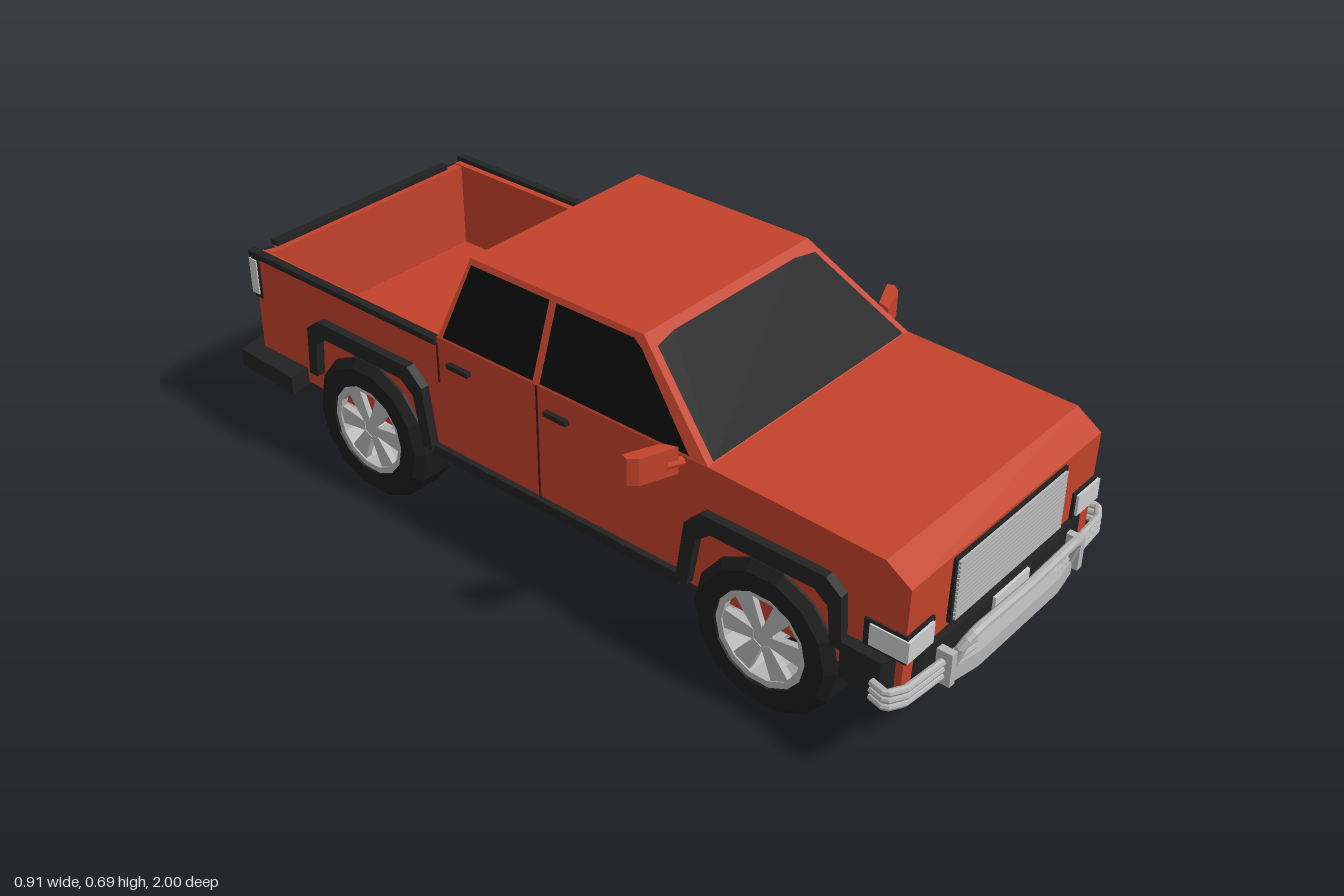
import * as THREE from 'three';

const paint = (color, side = THREE.FrontSide) =>
  new THREE.MeshStandardMaterial({ color, flatShading: true, side });

export function createModel() {
  const truck = new THREE.Group();
  truck.name = 'pickupTruck';
  const red = paint(0xc2422a), trim = paint(0x222222), rubber = paint(0x1c1c1c);
  const glass = paint(0x0b0b0b, THREE.DoubleSide);
  const chrome = paint(0xb4b4b4), lamp = paint(0xbdbdbd), seam = paint(0x4a1a12);

  const add = (name, geometry, material, parent = truck) => {
    const mesh = new THREE.Mesh(geometry, material);
    mesh.name = name;
    parent.add(mesh);
    return mesh;
  };
  // Box given by its limits on each axis
  const box = (name, mat, [x0, x1], [y0, y1], [z0, z1], parent) => {
    const g = new THREE.BoxGeometry(Math.abs(x1 - x0), y1 - y0, Math.abs(z1 - z0));
    g.translate((x0 + x1) / 2, (y0 + y1) / 2, (z0 + z1) / 2);
    return add(name, g, mat, parent);
  };
  const shapeOf = pts => new THREE.Shape(pts.map(p => new THREE.Vector2(...p)));
  // Side profile of (z, y) points, extruded across x
  const profile = (name, mat, pts, x0, x1) => {
    const g = new THREE.ExtrudeGeometry(shapeOf(pts), { depth: x1 - x0, bevelEnabled: false });
    return add(name, g.rotateY(-Math.PI / 2).translate(x1, 0, 0), mat);
  };
  // Plan outline of (x, z) points, extruded up y
  const plan = (name, mat, pts, y0, y1) => {
    const g = new THREE.ExtrudeGeometry(shapeOf(pts), { depth: y1 - y0, bevelEnabled: false });
    return add(name, g.rotateX(Math.PI / 2).translate(0, y1, 0), mat);
  };
  // Flat convex panel through 3D corners
  const panel = (name, mat, pts) => {
    const g = new THREE.BufferGeometry();
    g.setAttribute('position', new THREE.Float32BufferAttribute(pts.flat(), 3));
    const index = [];
    for (let i = 1; i < pts.length - 1; i++) index.push(0, i, i + 1);
    g.setIndex(index);
    g.computeVertexNormals();
    return add(name, g, mat);
  };
  const tube = (name, mat, pts, r) => {
    const path = new THREE.CurvePath();
    const v = pts.map(p => new THREE.Vector3(...p));
    for (let i = 1; i < v.length; i++) path.add(new THREE.LineCurve3(v[i - 1], v[i]));
    return add(name, new THREE.TubeGeometry(path, 32, r, 8), mat);
  };
  const mirrored = half => [...half, ...half.map(([x, z]) => [-x, z]).reverse()];

  // Lower body and hood
  profile('lowerBody', red, [[-0.315, 0.21], [0.925, 0.21], [0.93, 0.46], [0.87, 0.5],
    [0.45, 0.515], [-0.315, 0.515]], -0.345, 0.345);
  box('underPlate', red, [-0.15, 0.15], [0.2, 0.212], [-0.35, -0.03]);

  // Cab tapering to the roof
  const cab = new THREE.BoxGeometry(1, 1, 1);
  const p = cab.attributes.position;
  for (let i = 0; i < p.count; i++) {
    const top = p.getY(i) > 0, front = p.getZ(i) > 0;
    p.setXYZ(i, Math.sign(p.getX(i)) * (top ? 0.272 : 0.345), top ? 0.695 : 0.513,
      front ? (top ? 0.22 : 0.45) : (top ? -0.27 : -0.312));
  }
  cab.computeVertexNormals();
  add('cab', cab, red);

  // Windows lie just outside the sloping cab faces
  const sideX = y => 0.347 - 0.073 * (y - 0.513) / 0.182;
  const frontZ = y => 0.453 - 0.23 * (y - 0.513) / 0.182;
  const backZ = y => -0.315 + 0.042 * (y - 0.513) / 0.182;
  for (const [name, zAt] of [['windshield', frontZ], ['rearWindow', backZ]])
    panel(name, glass, [[-0.326, 0.518], [0.326, 0.518], [0.262, 0.675], [0.2, 0.682],
      [-0.2, 0.682], [-0.262, 0.675]].map(([x, y]) => [x, y, zAt(y)]));

  // Cargo bed
  box('bedFloor', red, [-0.345, 0.345], [0.21, 0.28], [-0.94, -0.314]);
  box('bedFrontWall', red, [-0.344, 0.344], [0.28, 0.503], [-0.33, -0.314]);
  box('tailgate', red, [-0.344, 0.344], [0.28, 0.497], [-0.94, -0.915]);
  box('tailgatePanel', red, [-0.275, 0.275], [0.26, 0.497], [-0.948, -0.93]);
  box('tailgateRail', trim, [-0.28, 0.28], [0.497, 0.51], [-0.952, -0.93]);
  box('tailgateHandle', trim, [-0.05, 0.05], [0.425, 0.45], [-0.955, -0.94]);

  // Wheel with tyre, rim, spokes and hub; its axis is local y
  const lathe = pts => new THREE.LatheGeometry(pts.map(q => new THREE.Vector2(...q)), 14);
  const makeWheel = () => {
    const wheel = new THREE.Group();
    add('tyre', lathe([[0.115, -0.062], [0.16, -0.062], [0.18, -0.044], [0.18, 0.044],
      [0.16, 0.062], [0.115, 0.062], [0.115, -0.062]]), rubber, wheel);
    add('rim', lathe([[0.1, -0.056], [0.116, -0.056], [0.116, 0.056], [0.1, 0.056],
      [0.1, -0.056]]), chrome, wheel);
    add('hub', new THREE.CylinderGeometry(0.03, 0.036, 0.1, 12), chrome, wheel);
    const spoke = new THREE.ExtrudeGeometry(shapeOf([[-0.012, 0.02], [0.012, 0.02],
      [0.025, 0.104], [-0.025, 0.104]]), { depth: 0.016, bevelEnabled: false });
    spoke.rotateX(Math.PI / 2).translate(0, 0.052, 0);
    for (let i = 0; i < 6; i++)
      add('spoke', spoke, chrome, wheel).rotation.y = i * Math.PI / 3;
    return wheel;
  };

  const flare = [[-0.22, 0.22], [-0.198, 0.375], [-0.155, 0.415], [0.15, 0.415], [0.187, 0.385],
    [0.195, 0.26], [0.167, 0.26], [0.158, 0.35], [0.125, 0.375], [-0.13, 0.375], [-0.168, 0.345],
    [-0.19, 0.22]];
  const hump = [[-0.73, 0.28], [-0.67, 0.355], [-0.6, 0.385], [-0.5, 0.385], [-0.43, 0.355], [-0.39, 0.28]];

  // Parts found on both sides
  for (const s of [1, -1]) {
    const span = (a, b) => (s > 0 ? [a, b] : [-b, -a]);

    for (const [end, z, dir] of [['front', 0.605, 1], ['rear', -0.55, -1]]) {
      const wheel = makeWheel();
      wheel.name = end + 'Wheel';
      wheel.position.set(s * 0.307, 0.18, z);
      wheel.rotation.z = -s * Math.PI / 2;
      truck.add(wheel);
      profile(end + 'WheelFlare', trim, flare.map(([a, y]) => [z + dir * a, y]), ...span(0.335, 0.367));
    }
    box('rockerTrim', trim, span(0.33, 0.36), [0.207, 0.232], [-0.335, 0.39]);

    // Bed sides
    box('bedSide', red, span(0.315, 0.345), [0.27, 0.5], [-0.939, -0.315]);
    box('bedRail', trim, span(0.332, 0.353), [0.497, 0.511], [-0.948, -0.315]);
    profile('bedWheelBox', red, hump, ...span(0.2, 0.32));

    // Side windows, doors and handles
    const onSide = ([z, y]) => [s * sideX(y), y, z];
    panel('frontSideWindow', glass, [[0.4, 0.52], [0.225, 0.67], [0.2, 0.683], [-0.012, 0.683], [-0.005, 0.52]].map(onSide));
    panel('rearSideWindow', glass, [[-0.025, 0.52], [-0.032, 0.683], [-0.262, 0.683], [-0.295, 0.52]].map(onSide));
    box('doorSeam', seam, span(0.34, 0.347), [0.232, 0.515], [-0.016, -0.011]);
    box('bedSeam', seam, span(0.34, 0.347), [0.4, 0.5], [-0.316, -0.311]);
    for (const z of [0.045, -0.245])
      box('doorHandle', trim, span(0.34, 0.357), [0.454, 0.466], [z - 0.032, z + 0.032]);

    // Door mirror
    tube('mirrorArm', red, [[s * 0.335, 0.5, 0.385], [s * 0.38, 0.505, 0.37]], 0.011);
    const mirror = plan('doorMirror', red, [[0.358, 0.385], [0.37, 0.352], [0.45, 0.318],
      [0.456, 0.335], [0.44, 0.355]].map(([x, z]) => [s * x, z]), 0.478, 0.542);
    mirror.geometry.computeVertexNormals();

    // Lamps
    box('headlightBezel', trim, span(0.258, 0.349), [0.287, 0.352], [0.835, 0.934]);
    box('headlight', lamp, span(0.266, 0.353), [0.295, 0.345], [0.85, 0.94]);
    box('tailLightBezel', trim, span(0.284, 0.348), [0.387, 0.497], [-0.946, -0.92]);
    box('tailLight', lamp, span(0.292, 0.351), [0.397, 0.488], [-0.952, -0.927]);

    // Front bumper tubes and upright
    for (const y of [0.21, 0.227, 0.244])
      tube('bumperTube', chrome, [[s * 0.385, y, 0.885], [s * 0.395, y, 0.925],
        [s * 0.36, y, 0.945], [s * 0.15, y, 0.962]], 0.0085);
    box('bumperUpright', chrome, span(0.232, 0.25), [0.19, 0.27], [0.935, 0.975]);
  }

  // Grille with slats
  box('grille', trim, [-0.205, 0.205], [0.3, 0.453], [0.9, 0.936]);
  for (let i = 0; i < 14; i++) {
    const y = 0.309 + i * 0.0102;
    box('grilleSlat', chrome, [-0.197, 0.197], [y - 0.0037, y + 0.0037], [0.93, 0.942]);
  }

  // Bumpers and plates
  plan('frontBumper', trim, mirrored([[0.372, 0.8], [0.375, 0.895], [0.29, 0.936], [0.15, 0.946]]), 0.2, 0.287);
  plan('rearBumper', trim, mirrored([[0.35, -0.78], [0.4, -0.775], [0.392, -0.97], [0.25, -0.998]]), 0.202, 0.248);
  box('frontPlate', lamp, [-0.064, 0.064], [0.228, 0.285], [0.94, 0.953]);
  box('rearPlate', lamp, [-0.1, 0.1], [0.205, 0.25], [-1, -0.975]);

  // Bull bar
  tube('bullBarHoop', chrome, [[-0.225, 0.195, 0.95], [-0.215, 0.275, 0.975], [-0.18, 0.3, 0.985],
    [0, 0.3, 0.989], [0.18, 0.3, 0.985], [0.215, 0.275, 0.975], [0.225, 0.195, 0.95]], 0.011);
  plan('bullBarSkid', chrome, mirrored([[0.225, 0.935], [0.225, 0.965], [0.15, 0.978]]), 0.182, 0.22);

  return truck;
}
